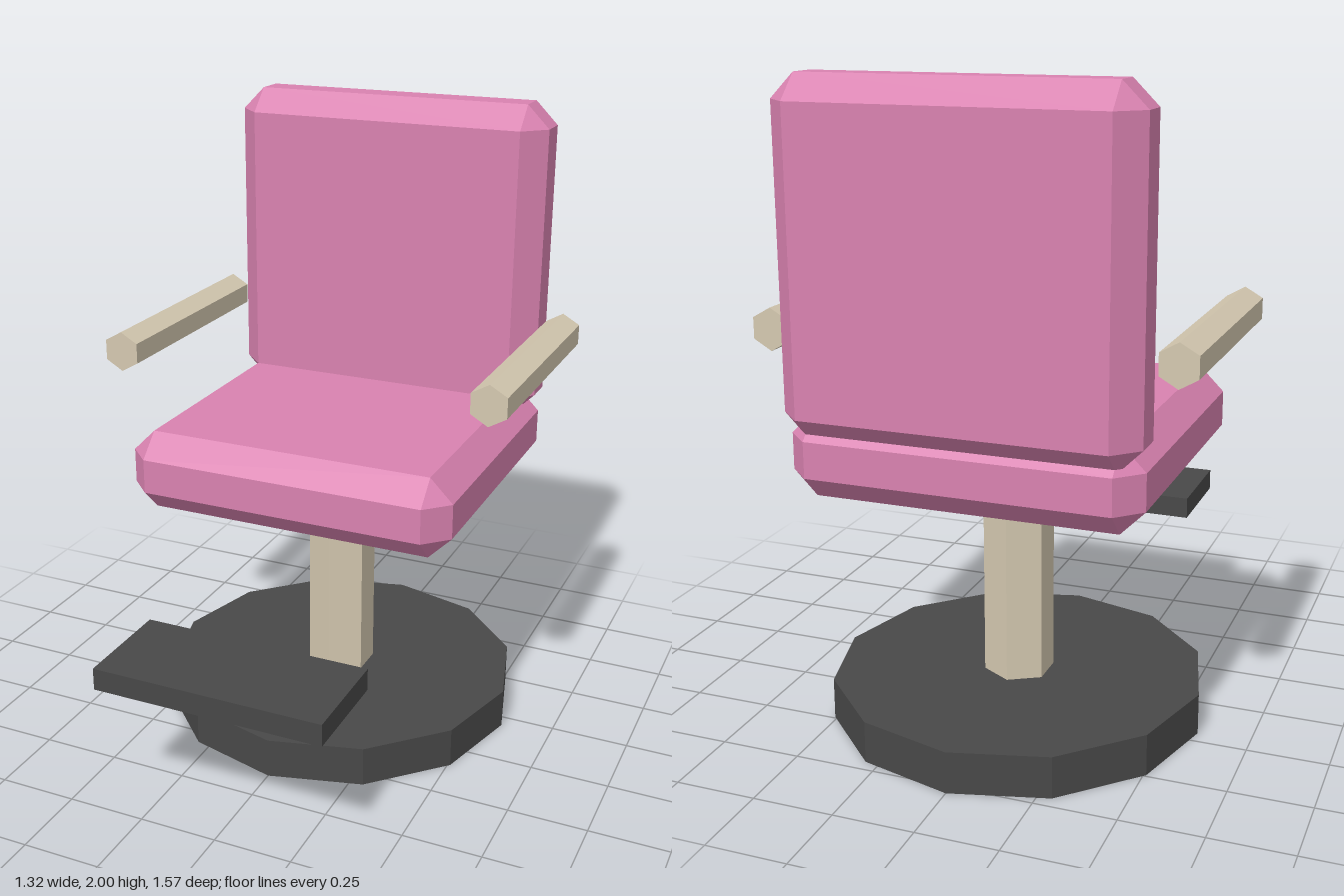
import * as THREE from 'three';
import { ConvexGeometry } from 'three/addons/geometries/ConvexGeometry.js';

const material = (name, color) => {
  const m = new THREE.MeshStandardMaterial({ color, flatShading: true });
  m.name = name;
  return m;
};

// Box with every edge and corner cut by a flat chamfer
function chamferBox(w, h, d, c) {
  const points = [];
  for (const sx of [-1, 1]) for (const sy of [-1, 1]) for (const sz of [-1, 1]) {
    const x = w / 2, y = h / 2, z = d / 2;
    points.push(
      new THREE.Vector3(sx * x, sy * (y - c), sz * (z - c)),
      new THREE.Vector3(sx * (x - c), sy * y, sz * (z - c)),
      new THREE.Vector3(sx * (x - c), sy * (y - c), sz * z),
    );
  }
  return new ConvexGeometry(points);
}

export function createModel() {
  const group = new THREE.Group();
  group.name = 'salonChair';
  const pink = material('pinkUpholstery', 0xd982b0);
  const beige = material('beigeFrame', 0xd4c8b0);
  const dark = material('darkMetal', 0x484848);

  const add = (name, geometry, mat, x, y, z) => {
    const mesh = new THREE.Mesh(geometry, mat);
    mesh.name = name;
    mesh.position.set(x, y, z);
    group.add(mesh);
  };

  // Round base and hexagonal column
  add('base', new THREE.CylinderGeometry(0.587, 0.587, 0.13, 12), dark, 0, 0.065, -0.2);
  add('column', new THREE.CylinderGeometry(0.11, 0.11, 0.7, 6), beige, 0, 0.47, -0.2);

  // Cushions
  add('seat', chamferBox(1.064, 0.256, 1.008, 0.073), pink, 0, 0.92, -0.202);
  add('backrest', chamferBox(1.064, 1.025, 0.24, 0.073), pink, 0, 1.4875, -0.623);

  // Floating armrests, ridge upwards
  for (const side of [-1, 1]) {
    const arm = new THREE.CylinderGeometry(0.064, 0.064, 0.768, 6).rotateX(Math.PI / 2);
    add(side > 0 ? 'leftArmrest' : 'rightArmrest', arm, beige, side * 0.605, 1.268, -0.221);
  }

  // Footrest plate
  add('footrest', new THREE.BoxGeometry(0.732, 0.07, 0.328), dark, 0, 0.48, 0.623);

  return group;
}
